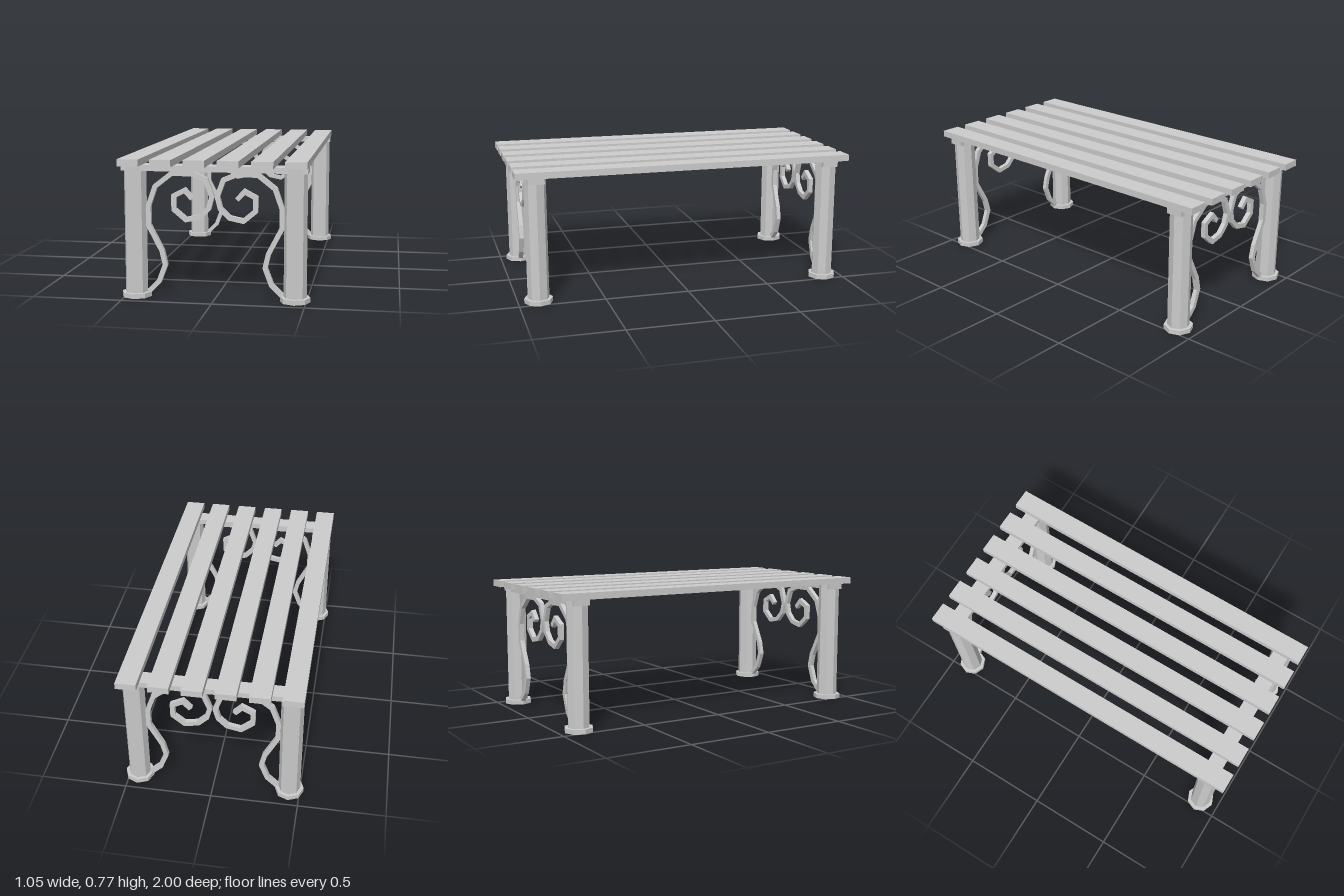
import * as THREE from 'three';

const material = new THREE.MeshStandardMaterial({ color: 0xcccccc, flatShading: true });

function addMesh(parent, name, geometry, x, y, z) {
  const mesh = new THREE.Mesh(geometry, material);
  mesh.name = name;
  mesh.position.set(x, y, z);
  parent.add(mesh);
  return mesh;
}

// Flat bar of constant width following a polyline, with mitred corners
function ribbonGeometry(path, width, depth) {
  const points = path.map(([x, y]) => new THREE.Vector2(x, y));
  const left = [], right = [];
  points.forEach((p, i) => {
    const before = points[Math.max(i - 1, 0)];
    const after = points[Math.min(i + 1, points.length - 1)];
    const d1 = (i > 0 ? p.clone().sub(before) : after.clone().sub(p)).normalize();
    const d2 = (i < points.length - 1 ? after.clone().sub(p) : d1.clone()).normalize();
    const tangent = d1.clone().add(d2).normalize();
    const normal = new THREE.Vector2(-tangent.y, tangent.x);
    normal.multiplyScalar(width / 2 / tangent.dot(d1));
    left.push(p.clone().add(normal));
    right.push(p.clone().sub(normal));
  });
  const shape = new THREE.Shape([...left, ...right.reverse()]);
  return new THREE.ExtrudeGeometry(shape, { depth, bevelEnabled: false }).translate(0, 0, -depth / 2);
}

// Scroll centreline, from the curled tip down to the foot of the leg
const scrollPath = [
  [0.122, 0.552], [0.164, 0.597], [0.225, 0.565], [0.224, 0.491], [0.158, 0.436],
  [0.081, 0.452], [0.032, 0.501], [0.015, 0.566], [0.048, 0.657], [0.122, 0.688],
  [0.236, 0.688], [0.329, 0.615], [0.366, 0.509], [0.366, 0.4], [0.294, 0.26],
  [0.276, 0.182], [0.312, 0.087], [0.369, 0.031],
];

export function createModel() {
  const bench = new THREE.Group();
  bench.name = 'bench';

  // Seat slats
  const slat = new THREE.BoxGeometry(0.116, 0.038, 2);
  for (const x of [-0.451, -0.274, -0.092, 0.09, 0.273, 0.45]) {
    addMesh(bench, 'slat', slat, x, 0.754, 0);
  }

  // End frames: crossbar, octagonal legs with feet, and scrolls
  const crossbar = new THREE.BoxGeometry(1.014, 0.032, 0.094);
  const leg = new THREE.CylinderGeometry(0.063, 0.063, 0.71, 8);
  const foot = new THREE.CylinderGeometry(0.083, 0.083, 0.027, 8);
  const scrolls = {};
  for (const side of [-1, 1]) {
    scrolls[side] = ribbonGeometry(scrollPath.map(([x, y]) => [x * side, y]), 0.027, 0.027);
  }

  for (const end of [1, -1]) {
    const frame = new THREE.Group();
    frame.name = end > 0 ? 'frontFrame' : 'backFrame';
    frame.position.z = end * 0.882;
    bench.add(frame);
    addMesh(frame, 'crossbar', crossbar, 0, 0.719, 0);
    for (const side of [-1, 1]) {
      const prefix = side > 0 ? 'left' : 'right';
      addMesh(frame, prefix + 'Leg', leg, side * 0.44, 0.38, 0);
      addMesh(frame, prefix + 'Foot', foot, side * 0.44, 0.0135, 0);
      addMesh(frame, prefix + 'Scroll', scrolls[side], 0, 0, 0);
    }
  }
  return bench;
}
